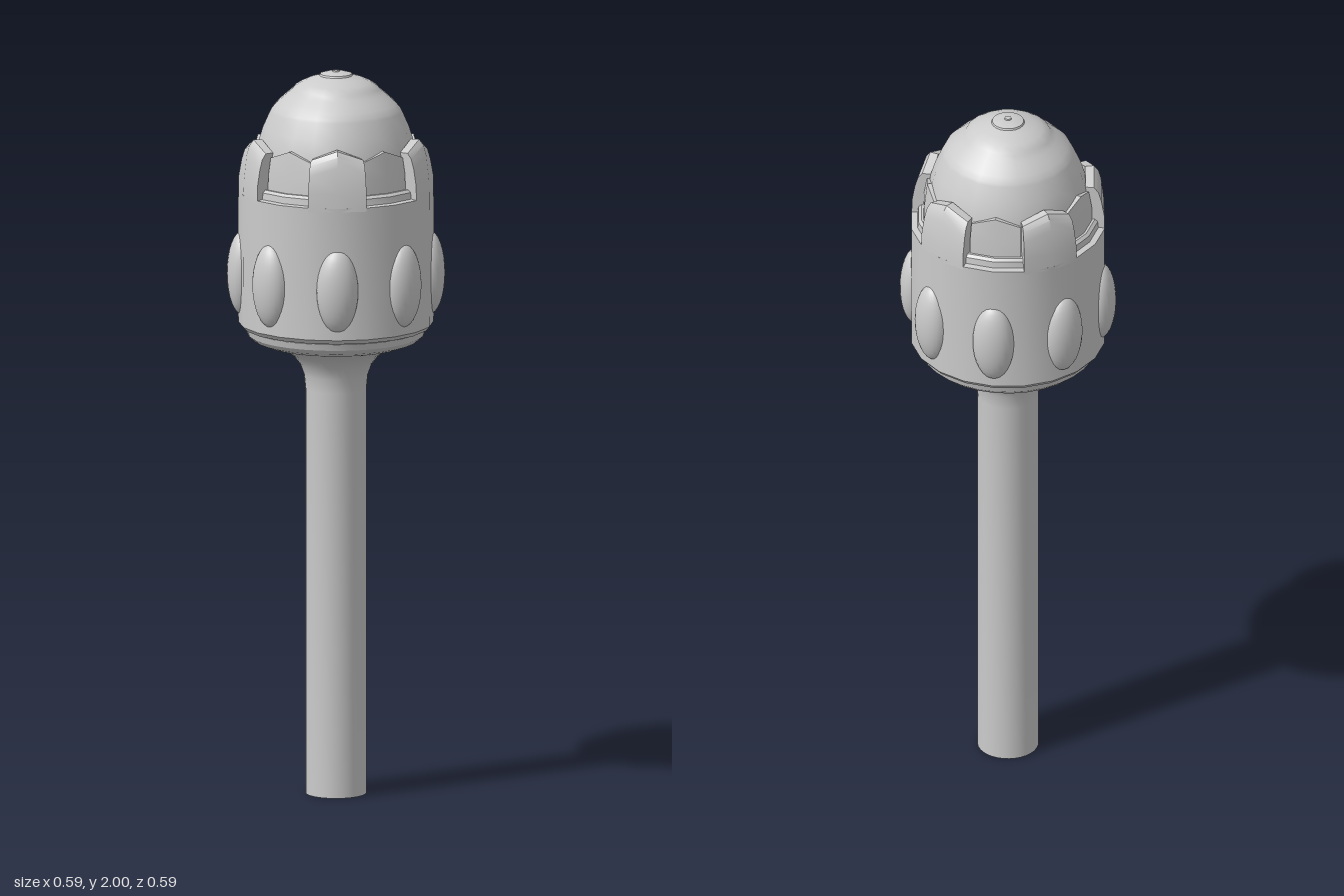
import * as THREE from 'three';
import { toCreasedNormals, mergeGeometries } from 'three/addons/utils/BufferGeometryUtils.js';

const SIDES = 20;
const STEP = (2 * Math.PI) / SIDES;
const material = new THREE.MeshStandardMaterial({ color: 0xcccccc, side: THREE.DoubleSide });
const toPoints = (list) => list.map(([r, y]) => new THREE.Vector2(r, y));

function addMesh(parent, name, geometry) {
  const mesh = new THREE.Mesh(geometry, material);
  mesh.name = name;
  parent.add(mesh);
  return mesh;
}

// Turned part from a bottom-to-top profile of [radius, height]
function turned(profile, sides = SIDES) {
  return toCreasedNormals(new THREE.LatheGeometry(toPoints(profile), sides), 0.5);
}

// Curved wall plate with closed ends whose top rises to a gable in the middle
function gabledPlate(section, halfAngle, lift) {
  const outline = toPoints(section);
  const wall = new THREE.LatheGeometry([...outline, outline[0].clone()], 2, -halfAngle, halfAngle * 2);
  const pos = wall.attributes.position;
  const rows = outline.length + 1;
  for (let i = rows; i < rows * 2; i++) {
    if (pos.getY(i) > 1.75) pos.setY(i, pos.getY(i) + lift);
  }
  const ends = [-1, 1].map((s) =>
    new THREE.ShapeGeometry(new THREE.Shape(outline)).rotateY(s * halfAngle - Math.PI / 2));
  // Turn the end cap that would face into the plate
  const index = ends[1].index;
  for (let i = 0; i < index.count; i += 3) {
    const a = index.getX(i);
    index.setX(i, index.getX(i + 1));
    index.setX(i + 1, a);
  }
  return toCreasedNormals(mergeGeometries([wall, ...ends]), 0.5);
}

export function createModel() {
  const model = new THREE.Group();
  model.name = 'sceptre';

  // Straight handle flaring into the cup under the head
  addMesh(model, 'handle', turned([
    [0, 0], [0.083, 0], [0.083, 1.12], [0.087, 1.16], [0.098, 1.19], [0.118, 1.215],
    [0.15, 1.235], [0.2, 1.248], [0.225, 1.258], [0.24, 1.272], [0.245, 1.29], [0.24, 1.3],
  ], 32));

  // Head drum with an open rim and a lower ledge inside it
  addMesh(model, 'drum', turned([
    [0.2, 1.29], [0.255, 1.293], [0.265, 1.305], [0.266, 1.45], [0.265, 1.67],
    [0.248, 1.672], [0.246, 1.69], [0.238, 1.697], [0.21, 1.697],
  ]));

  // Stepped dome
  addMesh(model, 'dome', turned([
    [0.225, 1.66], [0.22, 1.75], [0.212, 1.8], [0.198, 1.845], [0.179, 1.888],
    [0.175, 1.896], [0.163, 1.91], [0.148, 1.924], [0.132, 1.938], [0.118, 1.95],
    [0.114, 1.956], [0.095, 1.968], [0.073, 1.978], [0.045, 1.986], [0.043, 1.991],
    [0.025, 1.996], [0.01, 1.997], [0.009, 2], [0, 2],
  ]));

  // Five merlons alternate with five recessed gabled panels
  const crown = new THREE.Group();
  crown.name = 'crown';
  model.add(crown);
  const merlon = gabledPlate([
    [0.212, 1.66], [0.265, 1.66], [0.264, 1.71], [0.256, 1.755], [0.248, 1.782],
    [0.236, 1.797], [0.212, 1.797],
  ], STEP * 0.97, 0.026);
  const panel = gabledPlate([
    [0.205, 1.68], [0.232, 1.68], [0.23, 1.74], [0.222, 1.785], [0.205, 1.785],
  ], STEP * 0.98, 0.025);
  for (let i = 0; i < 5; i++) {
    addMesh(crown, 'merlon', merlon).rotation.y = i * 4 * STEP;
    addMesh(crown, 'panel', panel).rotation.y = (i * 4 + 2) * STEP;
  }

  // Eight oval studs around the drum
  const studs = new THREE.Group();
  studs.name = 'studs';
  model.add(studs);
  const stud = new THREE.SphereGeometry(1, 24, 16).scale(0.057, 0.115, 0.042).translate(0, 1.44, 0.254);
  for (let i = 0; i < 8; i++) {
    addMesh(studs, 'stud', stud).rotation.y = (i * Math.PI) / 4;
  }

  return model;
}
